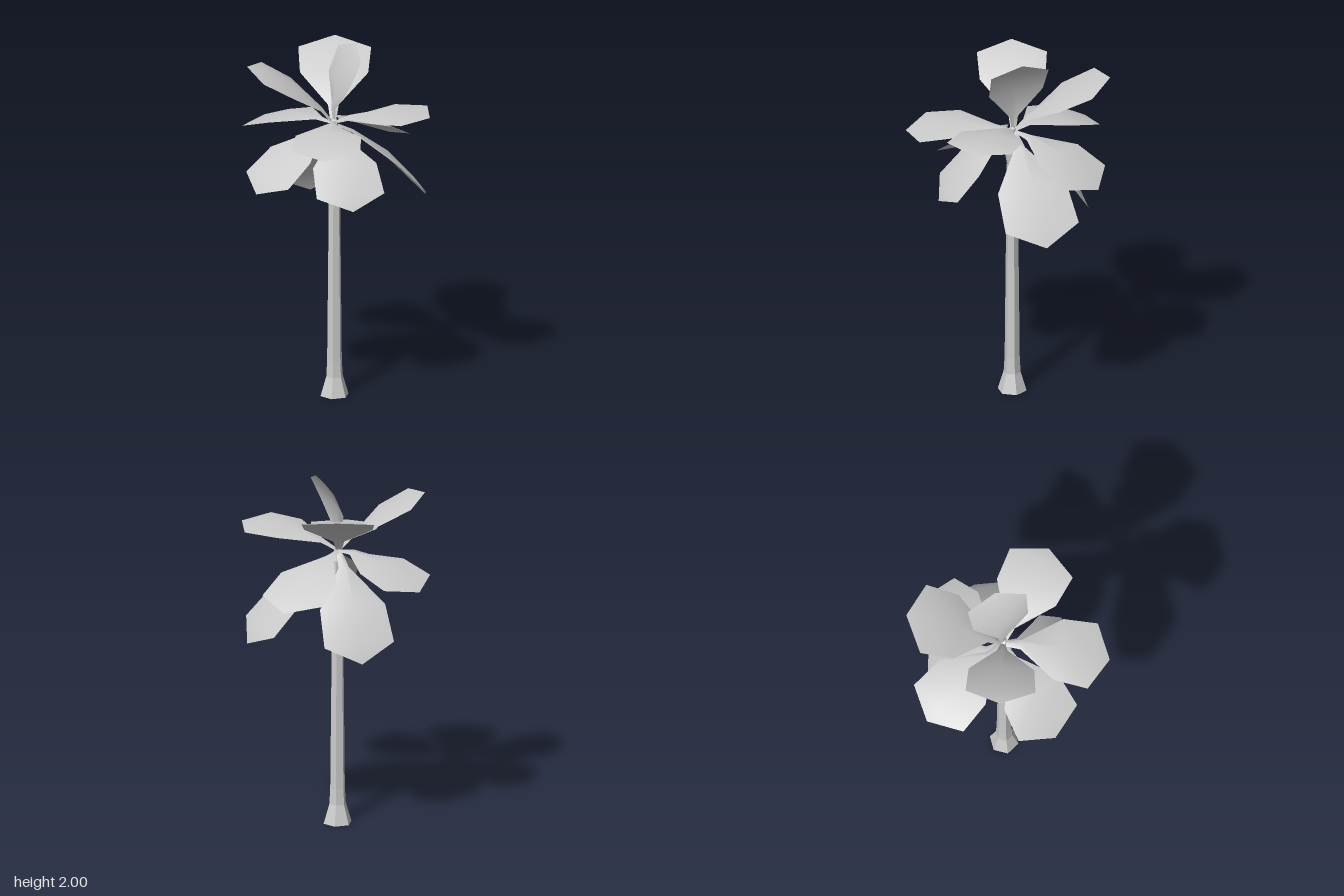
import * as THREE from 'three';

const ROOT = new THREE.Vector3(-0.02, 1.56, 0.02);

// Tip of every leaf and its width factor
const LEAVES = [
  [-0.02, 1.44, -0.56, 1], [-0.34, 1.88, -0.32, 1], [0.38, 1.88, -0.32, 1.04],
  [0.528, 1.345, -0.06, 1], [0.45, 1.085, 0.27, 1.11], [0.1, 2.0, 0.08, 0.88],
  [0.2, 1.035, -0.34, 1.04], [0.165, 1.655, 0.557, 1], [-0.49, 1.53, 0.37, 1],
  [-0.25, 1.18, 0.37, 1], [-0.53, 1.25, -0.085, 1],
];

// Cross-sections along a leaf: fraction, half width, arch of midrib, droop of edges
const STATIONS = [
  [0, 0.014, 0, 0.008],
  [0.17, 0.028, 0.035, 0.016],
  [0.52, 0.178, 0.06, 0.026],
  [0.84, 0.19, 0.034, 0.018],
  [1, 0, 0, 0],
];

function leafGeometry(tip, width) {
  const span = tip.clone().sub(ROOT);
  const dir = span.clone().normalize();
  const side = new THREE.Vector3(0, 1, 0).cross(dir).normalize();
  const up = dir.clone().cross(side);
  const positions = [];
  const index = [];
  for (const [s, half, arch, droop] of STATIONS) {
    for (const k of half ? [-1, 0, 1] : [0]) {
      const p = ROOT.clone().addScaledVector(span, s)
        .addScaledVector(side, k * half * width)
        .addScaledVector(up, arch - Math.abs(k) * droop);
      positions.push(p.x, p.y, p.z);
    }
  }
  const last = STATIONS.length - 2;
  for (let i = 0; i < last; i++) {
    for (let j = 0; j < 2; j++) {
      const a = i * 3 + j;
      index.push(a, a + 3, a + 1, a + 1, a + 3, a + 4);
    }
  }
  // Pointed end
  const a = last * 3;
  index.push(a, a + 3, a + 1, a + 1, a + 3, a + 2);
  const geo = new THREE.BufferGeometry();
  geo.setAttribute('position', new THREE.Float32BufferAttribute(positions, 3));
  geo.setIndex(index);
  geo.computeVertexNormals();
  return geo;
}

export function createModel() {
  const group = new THREE.Group();
  const grey = new THREE.MeshStandardMaterial({ color: 0xcccccc, side: THREE.DoubleSide });
  grey.name = 'light grey';

  // Six-sided trunk, open below, with a flared foot and a swollen crown
  const profile = [
    [0.08, 0], [0.047, 0.11], [0.042, 0.2], [0.03, 1.36],
    [0.043, 1.43], [0.041, 1.5], [0.02, 1.54], [0.02, 1.57], [0, 1.58],
  ].map(([r, y]) => new THREE.Vector2(r, y));
  const trunkGeo = new THREE.LatheGeometry(profile, 6).toNonIndexed();
  trunkGeo.computeVertexNormals();
  const trunk = new THREE.Mesh(trunkGeo, grey);
  trunk.name = 'trunk';
  trunk.position.set(-0.02, 0, 0.03);
  group.add(trunk);

  // Leaves
  const leaves = new THREE.Group();
  leaves.name = 'leaves';
  LEAVES.forEach(([x, y, z, width], i) => {
    const leaf = new THREE.Mesh(leafGeometry(new THREE.Vector3(x, y, z), width), grey);
    leaf.name = `leaf${i + 1}`;
    leaves.add(leaf);
  });
  group.add(leaves);
  return group;
}
